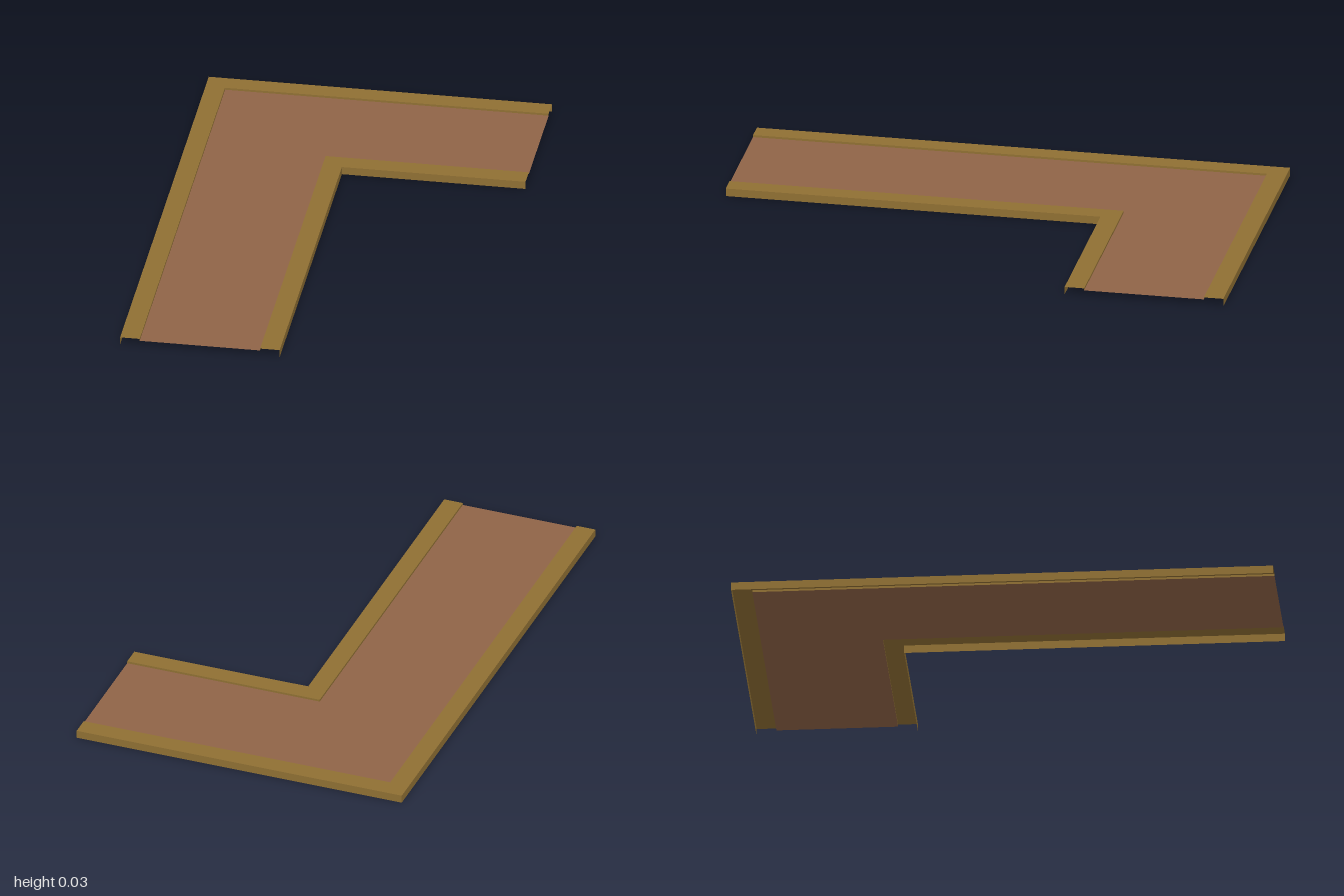
import * as THREE from 'three';

// L-shaped centre line, offset inward by d from the outer edge
const pathAt = (d, y) => [
  [-0.64 + d, y, 1],
  [-0.64 + d, y, -1 + d],
  [0.64, y, -1 + d],
];

// Sweep an open profile of [offset, height] points along the L
function sweep(name, profile, material) {
  const pos = [];
  for (let i = 0; i < profile.length - 1; i++) {
    const a = pathAt(...profile[i]);
    const b = pathAt(...profile[i + 1]);
    for (let k = 0; k < 2; k++) {
      pos.push(...a[k], ...b[k], ...b[k + 1], ...a[k], ...b[k + 1], ...a[k + 1]);
    }
  }
  const geometry = new THREE.BufferGeometry();
  geometry.setAttribute('position', new THREE.Float32BufferAttribute(pos, 3));
  geometry.computeVertexNormals();
  const mesh = new THREE.Mesh(geometry, material);
  mesh.name = name;
  return mesh;
}

export function createModel() {
  const group = new THREE.Group();
  group.name = 'cornerPath';
  const curbMat = new THREE.MeshStandardMaterial({ color: 0x8f6f33, side: THREE.DoubleSide });
  curbMat.name = 'ochre curb';
  const floorMat = new THREE.MeshStandardMaterial({ color: 0x8f6347, side: THREE.DoubleSide });
  floorMat.name = 'brown floor';

  const top = 0.03, floor = 0.022;
  // Hollow curbs: outside wall, flat top, small step down to the floor
  group.add(sweep('outerCurb', [[0, 0], [0, top], [0.073, top], [0.073, floor]], curbMat));
  group.add(sweep('innerCurb', [[0.522, floor], [0.522, top], [0.595, top], [0.595, 0]], curbMat));
  // Thin walking surface between the curbs
  group.add(sweep('floor', [[0.073, floor], [0.522, floor]], floorMat));
  return group;
}
